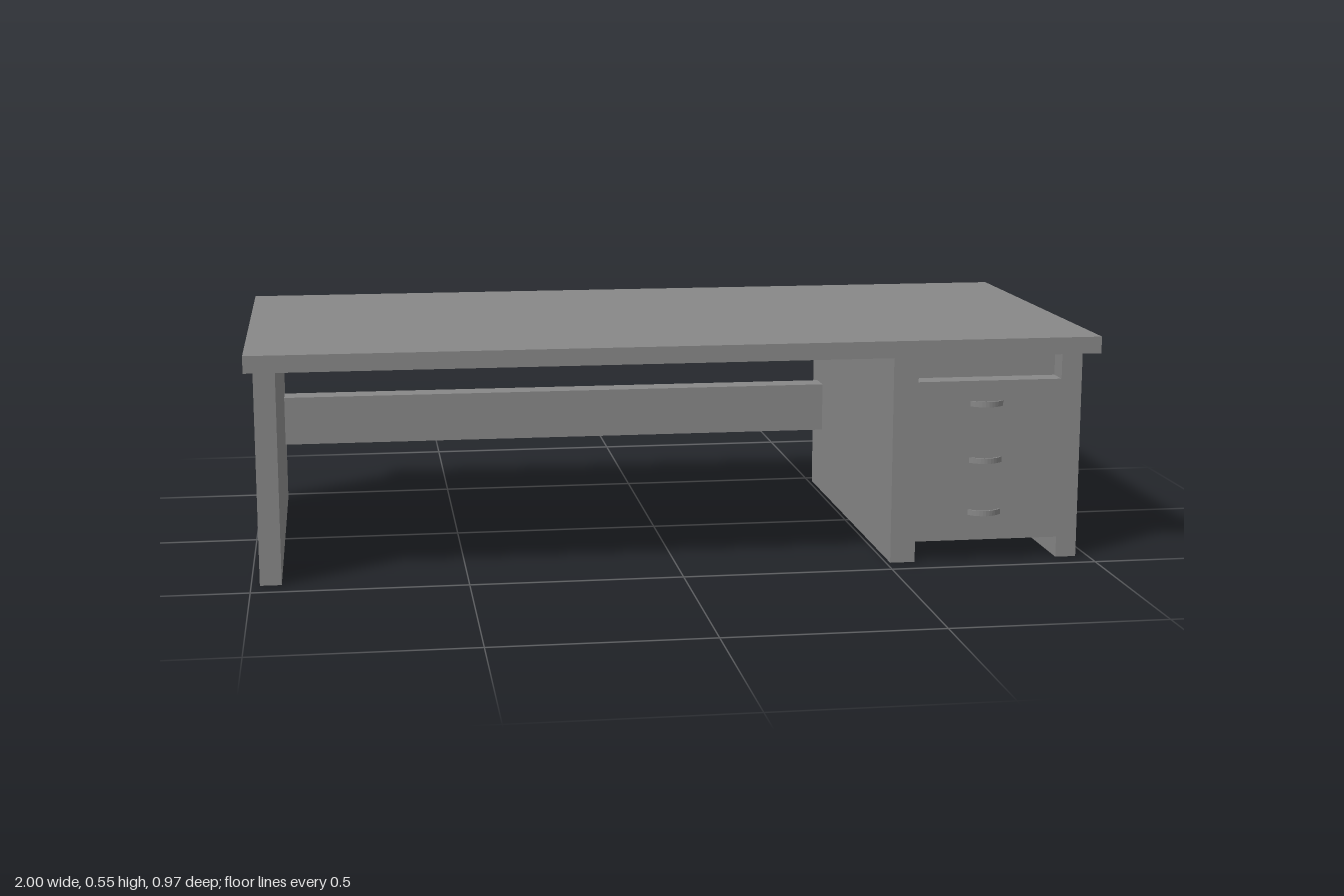
import * as THREE from 'three';

export function createModel() {
  const group = new THREE.Group();
  const solid = new THREE.MeshStandardMaterial({ color: 0x878787 });
  const thin = new THREE.MeshStandardMaterial({ color: 0x878787, side: THREE.DoubleSide });

  const add = (name, geometry, material = solid, parent = group) => {
    const mesh = new THREE.Mesh(geometry, material);
    mesh.name = name;
    parent.add(mesh);
    return mesh;
  };
  // Board between two corners
  const board = (name, [x0, y0, z0], [x1, y1, z1], material = solid) => {
    const mesh = add(name, new THREE.BoxGeometry(x1 - x0, y1 - y0, z1 - z0), material);
    mesh.position.set((x0 + x1) / 2, (y0 + y1) / 2, (z0 + z1) / 2);
    return mesh;
  };

  const H = 0.505, back = -0.46, front = 0.441;
  board('desktop', [-1, H, -0.487], [1, 0.545, 0.487]);
  board('crossBeam', [-0.93, 0.17, -0.405], [0.51, 0.295, -0.34]);

  // Side panel: a hollow shell, open underneath (the fourth box face is left out)
  const shell = board('sidePanel', [-0.98, 0, back], [-0.93, H, front], thin).geometry;
  shell.setIndex([...shell.index.array].filter((_, i) => i < 18 || i >= 24));

  // Drawer cabinet: a thin shell, open underneath
  const cabinet = new THREE.Group();
  cabinet.name = 'drawerCabinet';
  group.add(cabinet);
  const L = 0.51, R = 0.97, nl = 0.57, nr = 0.92;
  const toeTop = 0.05, slotBottom = 0.438;

  // Upright sheets facing along x or z
  const sheetX = (name, x, y0, y1, z0, z1, flip = 1) => {
    const m = add(name, new THREE.PlaneGeometry(z1 - z0, y1 - y0), thin, cabinet);
    m.rotation.y = flip * Math.PI / 2;
    m.position.set(x, (y0 + y1) / 2, (z0 + z1) / 2);
  };
  const sheetZ = (name, z, x0, x1, y0, y1, flip = 1) => {
    const m = add(name, new THREE.PlaneGeometry(x1 - x0, y1 - y0), thin, cabinet);
    m.rotation.y = flip > 0 ? 0 : Math.PI;
    m.position.set((x0 + x1) / 2, (y0 + y1) / 2, z);
  };
  sheetX('cabinetOuterSide', R, 0, H, back, front);
  sheetX('cabinetInnerSide', L, 0, H, back, front, -1);
  sheetZ('cabinetBack', back, L, R, 0, H, -1);

  // Front face, notched at the top and bottom
  const face = new THREE.Shape([
    [L, 0], [nl, 0], [nl, toeTop], [nr, toeTop], [nr, 0], [R, 0],
    [R, H], [nr, H], [nr, slotBottom], [nl, slotBottom], [nl, H], [L, H],
  ].map(([x, y]) => new THREE.Vector2(x, y)));
  add('cabinetFront', new THREE.ShapeGeometry(face), thin, cabinet).position.z = front;

  // Walls of the toe recess and of the slot under the desktop
  const recess = (name, y0, y1, depth) => {
    const z = front - depth;
    sheetX(name + 'Left', nr, y0, y1, z, front, -1);
    sheetX(name + 'Right', nl, y0, y1, z, front);
    sheetZ(name + 'Back', z, nl, nr, y0, y1);
  };
  const slotDepth = 0.055;
  recess('toeRecess', 0, toeTop, 0.32);
  recess('topSlot', slotBottom, H, slotDepth);
  const shelf = add('topSlotShelf', new THREE.PlaneGeometry(nr - nl, slotDepth), thin, cabinet);
  shelf.rotation.x = -Math.PI / 2;
  shelf.position.set((nl + nr) / 2, slotBottom, front - slotDepth / 2);

  // Bowed drawer handles: a slim flat arc in plan, given height
  const arc = new THREE.Shape();
  arc.moveTo(-0.04, 0);
  arc.quadraticCurveTo(0, -0.04, 0.04, 0);
  arc.lineTo(0.034, 0);
  arc.quadraticCurveTo(0, -0.029, -0.034, 0);
  const handleGeometry = new THREE.ExtrudeGeometry(arc, { depth: 0.013, bevelEnabled: false, curveSegments: 10 });
  handleGeometry.rotateX(-Math.PI / 2);
  for (const y of [0.383, 0.246, 0.118]) {
    add('drawerHandle', handleGeometry, solid, cabinet).position.set(0.738, y - 0.0065, front);
  }
  return group;
}
